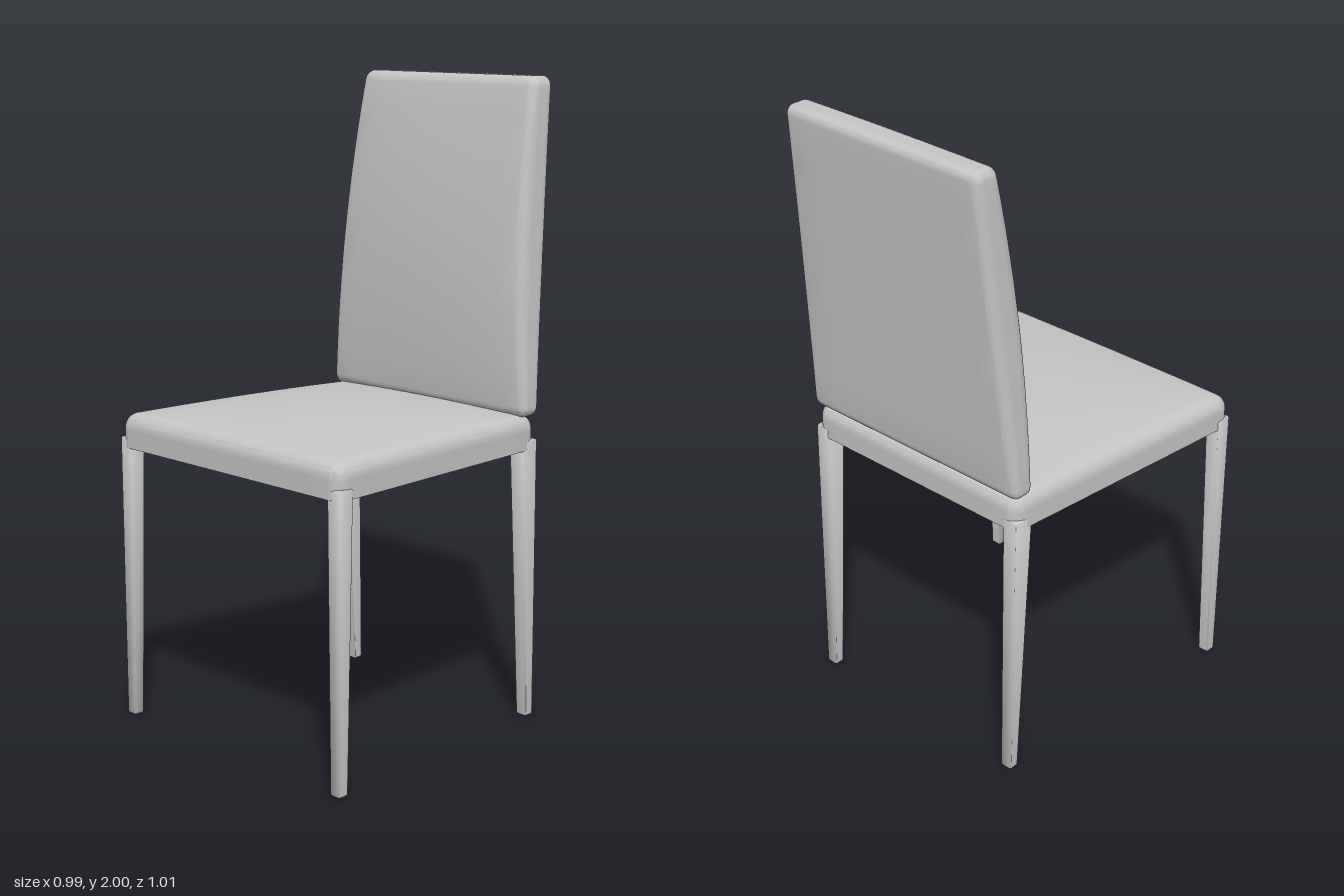
import * as THREE from 'three';
import { toCreasedNormals } from 'three/addons/utils/BufferGeometryUtils.js';

const lerp = THREE.MathUtils.lerp;
const clamp = THREE.MathUtils.clamp;

// Rounded box with extra rings on its flat faces, reshaped by a rule.
// The rule gets the point and its normalised position (-1..1 per axis).
function softBox(w, h, d, r, flat, rule) {
  const k = 4;
  const n = flat + 2 * k;
  const geo = new THREE.BoxGeometry(w, h, d, n, n, n);
  const pos = geo.attributes.position;
  const size = [w, h, d];
  const p = new THREE.Vector3();
  const inner = new THREE.Vector3();
  for (let i = 0; i < pos.count; i++) {
    p.fromBufferAttribute(pos, i);
    for (let a = 0; a < 3; a++) {
      const half = size[a] / 2;
      const s = Math.round((p.getComponent(a) / size[a] + 0.5) * n);
      let c;
      if (s <= k) c = -half + (r * s) / k;
      else if (s >= n - k) c = half - (r * (n - s)) / k;
      else c = lerp(-half + r, half - r, (s - k) / flat);
      p.setComponent(a, c);
      inner.setComponent(a, clamp(c, r - half, half - r));
    }
    p.sub(inner).setLength(r).add(inner);
    rule(p, new THREE.Vector3((2 * p.x) / w, (2 * p.y) / h, (2 * p.z) / d));
    pos.setXYZ(i, p.x, p.y, p.z);
  }
  geo.deleteAttribute('uv');
  geo.deleteAttribute('normal');
  return toCreasedNormals(geo, 0.8);
}

export function createModel() {
  const chair = new THREE.Group();
  chair.name = 'diningChair';
  const grey = new THREE.MeshStandardMaterial({ color: 0xc4c4c4 });
  grey.name = 'greyUpholstery';

  const add = (name, geo) => {
    const mesh = new THREE.Mesh(geo, grey);
    mesh.name = name;
    chair.add(mesh);
  };

  // Seat: wider at the front, crowned on top, flat with a crisp edge below
  add('seat', softBox(0.99, 0.16, 0.91, 0.045, 10, (p, q) => {
    const crown = 0.036 * (1 - q.x * q.x) * (1 - q.z * q.z);
    p.x *= lerp(0.84, 1, (q.z + 1) / 2);
    p.y = Math.max(p.y + 0.895, 0.868) + (q.y > 0 ? crown : 0);
    p.z += 0.055;
  }));

  // Backrest: leans back, narrows upwards, front bulges forward
  add('backrest', softBox(0.85, 1.03, 0.1, 0.032, 12, (p, q) => {
    const t = (q.y + 1) / 2;
    const back = -0.405 - 0.103 * t;
    const depth = 0.075 + 0.015 * t + 0.12 * t * (1 - t)
      + 0.02 * (1 - q.x * q.x) * (0.25 + 0.75 * Math.sin(Math.PI * t));
    p.x *= lerp(1, 0.87, t);
    p.y += 1.485;
    p.z = back + (depth * (q.z + 1)) / 2;
  }));

  // Legs: [inner x, outer x, back z, front z] at the floor and under the seat
  const legs = {
    frontLeg: { foot: [0.452, 0.49, 0.47, 0.506], top: [0.442, 0.494, 0.452, 0.508] },
    rearLeg: { foot: [0.37, 0.41, -0.414, -0.38], top: [0.366, 0.42, -0.402, -0.33] },
  };
  for (const [name, { foot, top }] of Object.entries(legs)) {
    for (const side of [1, -1]) {
      add((side > 0 ? 'left ' : 'right ') + name,
        softBox(0.05, 0.9, 0.05, 0.007, 1, (p, q) => {
          const t = (q.y + 1) / 2;
          const [x0, x1, z0, z1] = foot.map((f, i) => lerp(f, top[i], t));
          p.x = side > 0 ? lerp(x0, x1, (q.x + 1) / 2) : lerp(-x1, -x0, (q.x + 1) / 2);
          p.y += 0.45;
          p.z = lerp(z0, z1, (q.z + 1) / 2);
        }));
    }
  }
  return chair;
}
